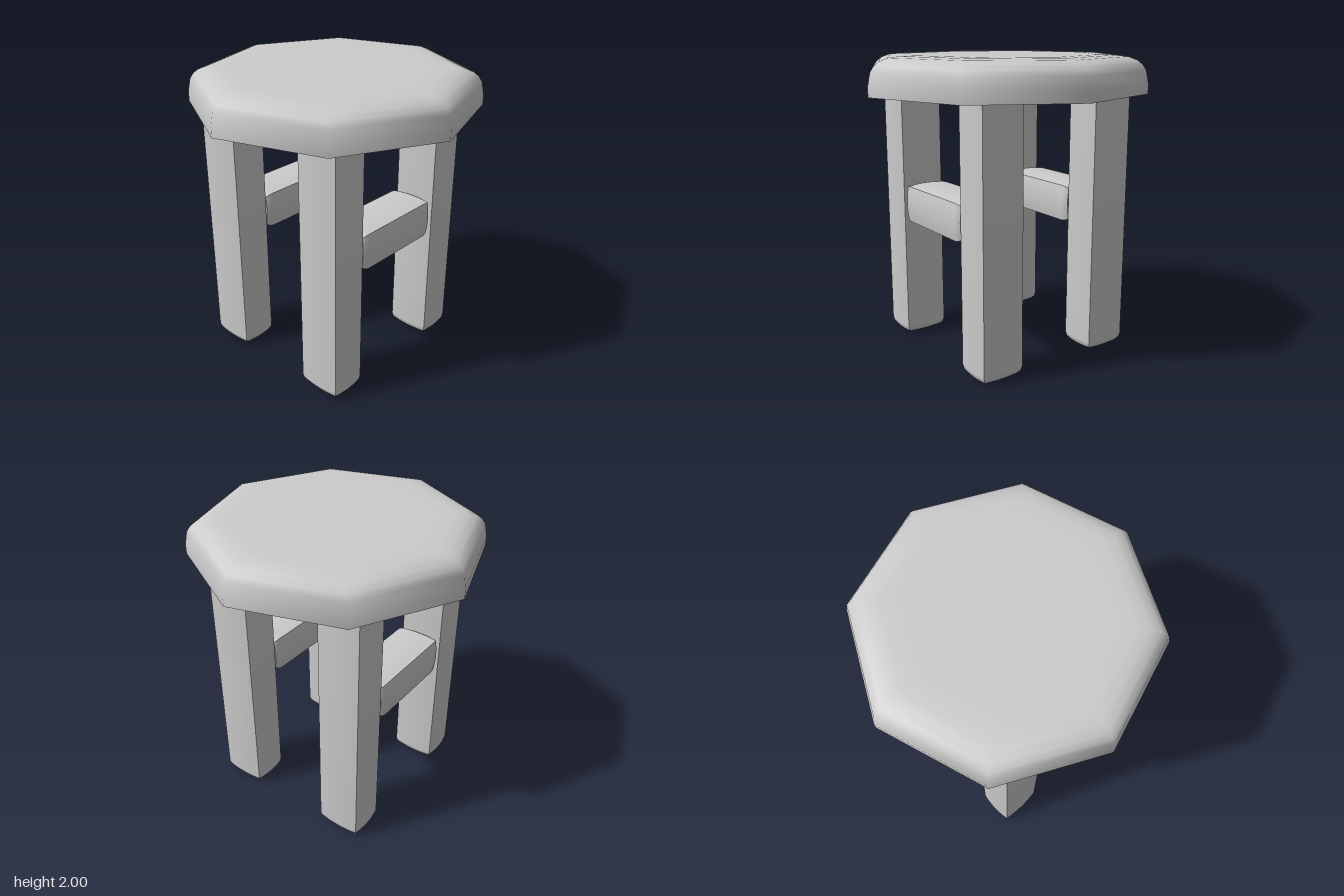
import * as THREE from 'three';

const material = new THREE.MeshStandardMaterial({ color: 0xcccccc, side: THREE.DoubleSide });

// Softly bulging beam along y: bowed faces, crisp long edges, rounded ends
function beamGeometry(width, length, depth) {
  const rows = [[0, 0], [0.06, 0], [0.032, 0.006], [0.015, 0.018]]; // [distance from end, inset]
  const bulge = 0.012;
  const geo = new THREE.BoxGeometry(2, 2, 2, 8, 6, 8);
  const pos = geo.attributes.position;
  for (let i = 0; i < pos.count; i++) {
    const u = pos.getX(i), v = pos.getY(i), w = pos.getZ(i);
    const row = Math.round(Math.abs(v) * 3);
    const [fromEnd, inset] = rows[row];
    const capBulge = row === 3 ? 0.015 * (1 - Math.max(u ** 4, w ** 4)) : 0;
    const y = row === 0 ? 0 : Math.sign(v) * (length / 2 - fromEnd + capBulge);
    pos.setXYZ(i,
      u * (width / 2 - inset - bulge * w * w), y,
      w * (depth / 2 - inset - bulge * u * u));
  }
  geo.computeVertexNormals();
  return geo;
}

export function createModel() {
  const model = new THREE.Group();
  model.name = 'stool';
  const add = (name, geometry, x, y, z) => {
    const mesh = new THREE.Mesh(geometry, material);
    mesh.name = name;
    mesh.position.set(x, y, z);
    model.add(mesh);
    return mesh;
  };

  // Eight-sided seat shell with a rounded rim, open underneath
  const profile = [
    [0.956, 1.755], [0.956, 1.82], [0.938, 1.905], [0.915, 1.94], [0.88, 1.968],
    [0.82, 1.99], [0.74, 1.998], [0.63, 2], [0, 2],
  ].map(([r, y]) => new THREE.Vector2(r, y));
  add('seat', new THREE.LatheGeometry(profile, 8, -0.084), 0, 0, 0);

  // Four legs reaching up into the seat, and a stretcher on each side
  const legHeight = 1.88;
  const leg = beamGeometry(0.32, legHeight, 0.27);
  const stretcher = beamGeometry(0.31, 0.71, 0.27);
  for (const sx of [1, -1]) {
    const side = sx > 0 ? 'left' : 'right';
    const x = sx * 0.435 - 0.01;
    add(side + 'FrontLeg', leg, x, legHeight / 2, 0.5);
    add(side + 'BackLeg', leg, x, legHeight / 2, -0.47);
    add(side + 'Stretcher', stretcher, x, 0.99, 0.015).rotation.x = Math.PI / 2;
  }
  return model;
}
